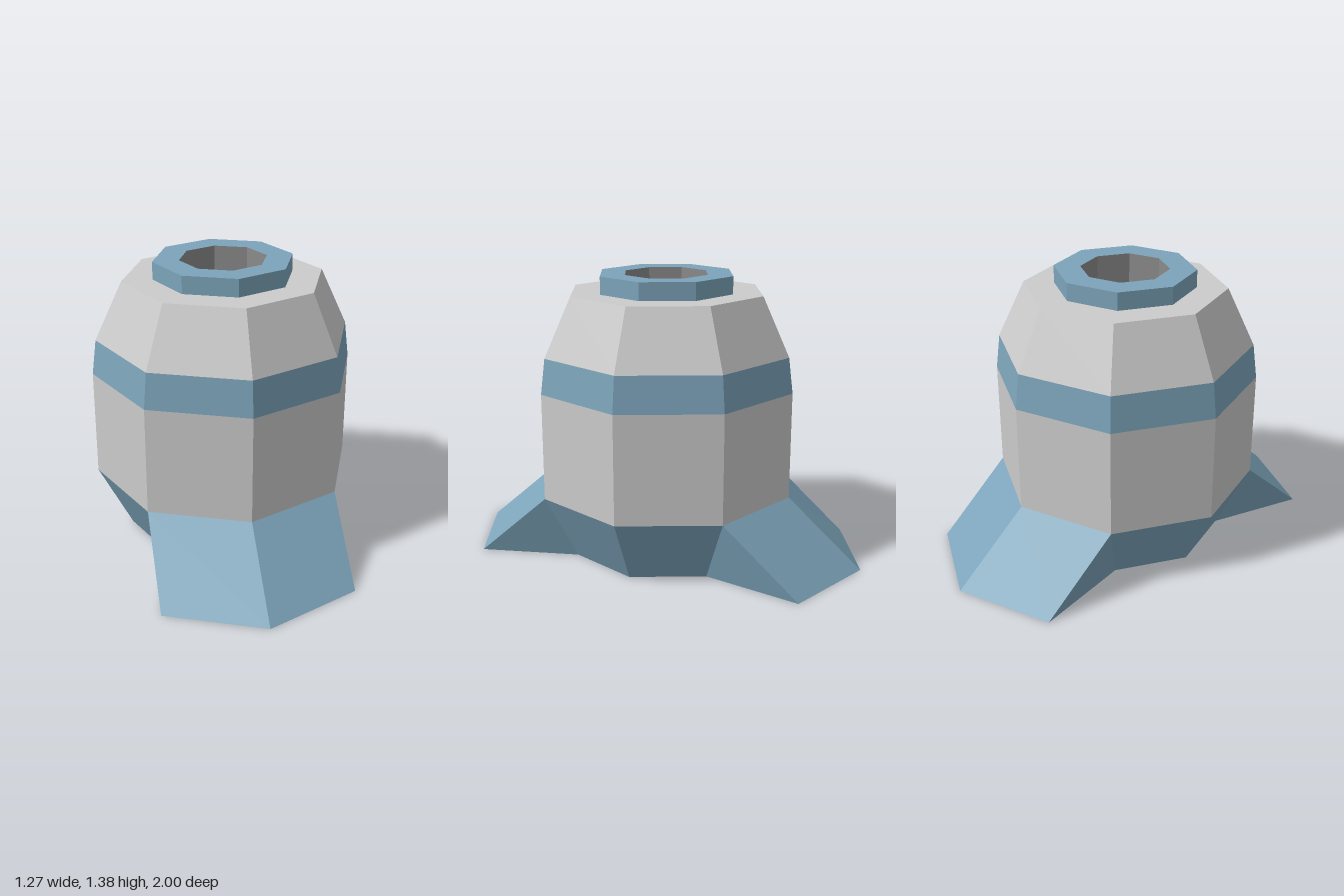
import * as THREE from 'three';

const paint = (color) => new THREE.MeshStandardMaterial({ color, flatShading: true });

// Surface from a list of triangle corners
function surface(corners) {
  const geometry = new THREE.BufferGeometry();
  geometry.setAttribute('position', new THREE.Float32BufferAttribute(corners.flat(), 3));
  geometry.computeVertexNormals();
  return geometry;
}

export function createModel() {
  const group = new THREE.Group();
  const grey = paint(0xcccccc);
  const blue = paint(0x7ca4ba);
  const dark = paint(0x8a8a8a);

  const add = (name, geometry, material) => {
    const mesh = new THREE.Mesh(geometry, material);
    mesh.name = name;
    group.add(mesh);
  };
  // Eight-sided ring around y from [radius, height] pairs
  const octagon = (name, profile, material) => add(name,
    new THREE.LatheGeometry(profile.map(([r, y]) => new THREE.Vector2(r, y)), 8), material);

  // Body, from the skirt up to the collar
  octagon('bodyWall', [[0.637, 0.32], [0.637, 0.84]], grey);
  octagon('bodyBand', [[0.637, 0.84], [0.615, 1.01]], blue);
  octagon('shoulder', [[0.615, 1.01], [0.483, 1.29], [0.335, 1.29]], grey);
  octagon('collar', [[0.336, 1.29], [0.336, 1.375], [0.21, 1.375]], blue);
  octagon('bore', [[0.21, 1.375], [0.21, 1.0], [0, 1.0]], dark);

  // Half outline of the skirt: upper x, z and lower x, z; the rest is a half turn
  const half = [
    [0, 0.637, 0, 1], [0.45, 0.45, 0.45, 0.81], [0.45, 0.45, 0.336, 0.336],
    [0.637, 0, 0.475, 0], [0.45, -0.45, 0.336, -0.336], [0.45, -0.45, 0.45, -0.81],
  ];
  const outline = [...half, ...half.map((p) => p.map((v) => -v))];
  const sides = [];
  const underside = [];
  outline.forEach(([ux, uz, lx, lz], i) => {
    const [nux, nuz, nlx, nlz] = outline[(i + 1) % outline.length];
    const a = [lx, 0, lz], b = [nlx, 0, nlz];
    const c = [nux, 0.32, nuz], d = [ux, 0.32, uz];
    sides.push(a, b, d);
    if (c[0] !== d[0] || c[2] !== d[2]) sides.push(b, c, d);
    underside.push([0, 0, 0], b, a);
  });
  add('flaredSkirt', surface(sides), blue);
  add('underside', surface(underside), grey);

  return group;
}
